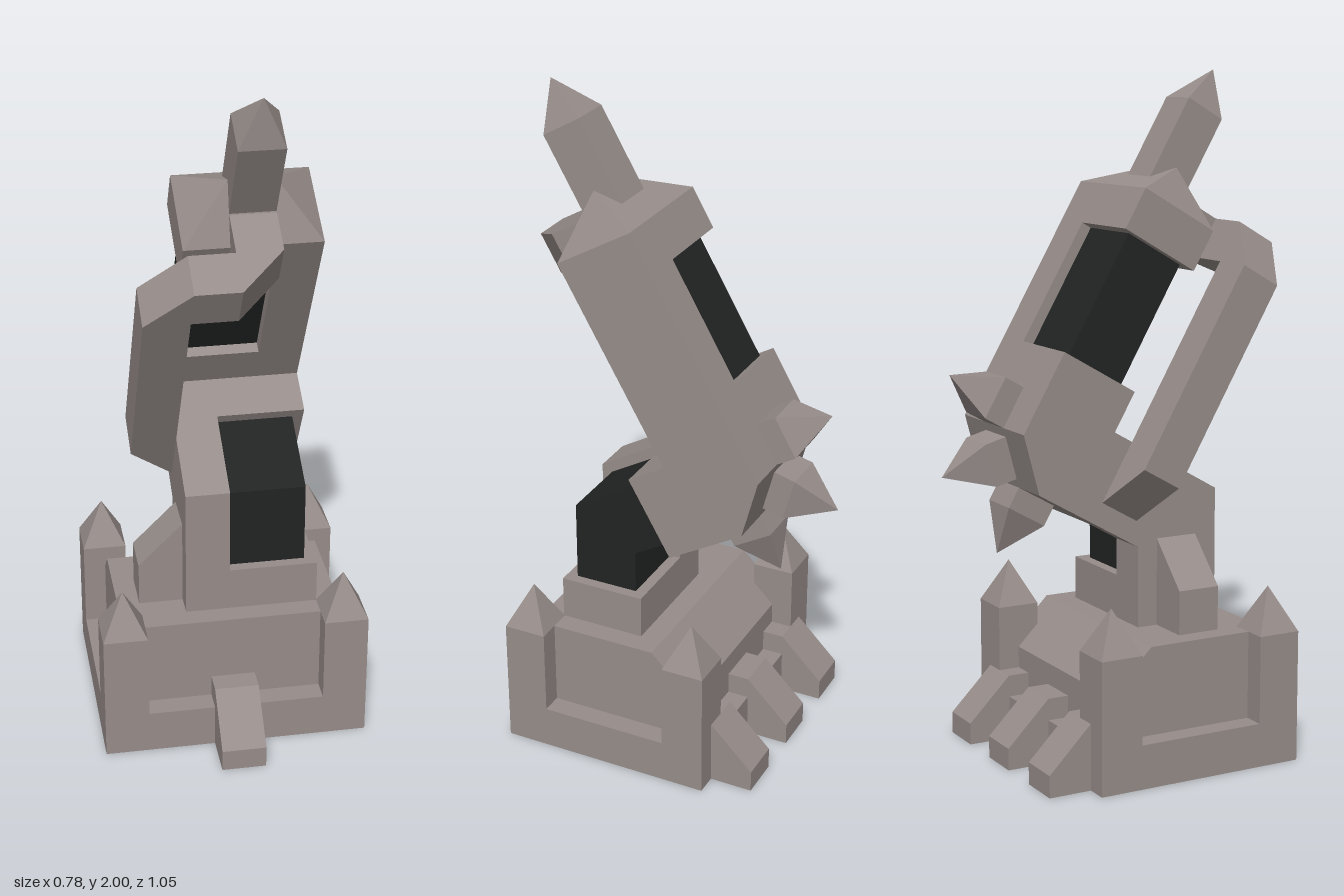
import * as THREE from 'three';

const S = 0.065; // grid step shared by all parts

export function createModel() {
  const stone = new THREE.MeshStandardMaterial({ color: 0x978d8a });
  stone.name = 'warm grey stone';
  const dark = new THREE.MeshStandardMaterial({ color: 0x222424 });
  dark.name = 'dark core';

  const root = new THREE.Group();
  root.name = 'leaningTower';

  const add = (parent, name, geo, mat = stone) => {
    const m = new THREE.Mesh(geo, mat);
    m.name = name;
    parent.add(m);
    return m;
  };
  // box from min/max limits
  const box = (parent, name, x0, x1, y0, y1, z0, z1, mat) => {
    const g = new THREE.BoxGeometry(x1 - x0, y1 - y0, z1 - z0);
    g.translate((x0 + x1) / 2, (y0 + y1) / 2, (z0 + z1) / 2);
    return add(parent, name, g, mat);
  };
  const extrude = (pts, depth) => new THREE.ExtrudeGeometry(
    new THREE.Shape(pts.map(([a, b]) => new THREE.Vector2(a, b))),
    { depth, bevelEnabled: false });
  // side profile of [z, y] points, extruded from x0 to x1
  const side = (parent, name, pts, x0, x1, mat) => {
    const g = extrude(pts.map(([z, y]) => [-z, y]), x1 - x0);
    g.rotateY(Math.PI / 2);
    g.translate(x0, 0, 0);
    return add(parent, name, g, mat);
  };
  // front profile of [x, y] points, extruded from z0 to z1
  const front = (parent, name, pts, z0, z1) => {
    const g = extrude(pts, z1 - z0);
    g.translate(0, 0, z0);
    return add(parent, name, g);
  };
  // square post with a pyramid tip, standing on its local origin
  const post = (parent, name, height, x, y, z, tilt = 0) => {
    const p = new THREE.Group();
    p.name = name;
    box(p, name + 'Shaft', -S, S, 0, height, -S, S);
    const tip = new THREE.ConeGeometry(S * Math.SQRT2, 2 * S, 4, 1, true).toNonIndexed();
    tip.rotateY(Math.PI / 4);
    tip.translate(0, height + S, 0);
    tip.computeVertexNormals();
    add(p, name + 'Tip', tip);
    p.position.set(x, y, z);
    p.rotation.x = tilt;
    parent.add(p);
  };

  // ---- base ----
  const base = new THREE.Group();
  base.name = 'base';
  root.add(base);
  const zF = 0.395, zB = -0.255;
  box(base, 'plinth', -0.39, 0.39, 0, 0.13, zB, zF);
  side(base, 'recessedWalls', [[zF - S, 0.13], [zF - S, 0.39], [-0.06, 0.39],
    [zB + S, 0.26], [zB + S, 0.13]], -0.325, 0.325);
  for (const x of [-0.325, 0.325])
    for (const z of [zF - S, zB + S]) post(base, 'cornerPillar', 0.39, x, 0, z);
  const claw = (name, x, z, dir) => side(base, name, [[z - dir * S, 0], [z - dir * S, 0.195],
    [z, 0.195], [z + dir * 0.13, S], [z + dir * 0.13, 0]], x - S, x + S);
  claw('frontClaw', 0, zF, 1);
  for (const x of [-0.26, 0, 0.26]) claw('backClaw', x, zB, -1);

  // ---- lower column and elbow ----
  box(root, 'columnFoot', -0.13, 0.26, 0.38, 0.52, 0.007, 0.268);
  front(root, 'columnButtress', [[-0.26, 0.38], [-0.13, 0.38], [-0.13, 0.65], [-0.26, 0.52]], 0.07, 0.2);
  const O = [-0.07, 0.976]; // origin of the leaning arm, [z, y]
  const c = Math.cos(Math.PI / 6), s = 0.5;
  const L = (y, z) => [O[0] + s * y + c * z, O[1] + c * y - s * z];
  side(root, 'elbowSlab', [[0.268, 0.52], L(0, 0.39), L(0, 0.13), L(-0.26, 0.13),
    [0.007, 0.631], [0.007, 0.52]], -0.13, 0);
  side(root, 'elbowCore', [[0.2355, 0.52], [0.2355, 0.7625], L(-0.0325, 0.13),
    L(-0.2275, 0.13), [0.04, 0.65], [0.04, 0.52]], 0, 0.2275, dark);

  // ---- leaning arm, built upright and tilted forward 30 degrees ----
  const arm = new THREE.Group();
  arm.name = 'leaningArm';
  arm.position.set(0, O[1], O[0]);
  arm.rotation.x = Math.PI / 6;
  root.add(arm);
  side(arm, 'armHeel', [[0.13, 0], [0, 0], [0, 0.13], [-0.26, 0.13], [-0.26, -0.13],
    [-0.13, -0.26], [0.13, -0.26]], -0.13, 0.26);
  box(arm, 'armWall', 0.13, 0.26, 0.13, 0.52, -0.26, 0);
  box(arm, 'armCore', -0.0975, 0.13, 0.13, 0.52, -0.2275, -0.0325, dark);
  box(arm, 'armHead', -0.13, 0.26, 0.52, 0.65, -0.26, 0);

  // hipped cap: top of a box drawn in to a short ridge
  const cap = new THREE.BoxGeometry(0.39, 0.13, 0.26);
  const p = cap.attributes.position;
  for (let i = 0; i < p.count; i++)
    if (p.getY(i) > 0) p.setXYZ(i, p.getX(i) / 3, p.getY(i), 0);
  const capFlat = cap.toNonIndexed();
  capFlat.computeVertexNormals();
  capFlat.translate(S, 0.65 + S, -0.13);
  add(arm, 'hippedCap', capFlat);
  post(arm, 'topSpire', 0.325, S, 0.65, -0.13);

  // spikes fanned around the heel
  post(arm, 'upperSpike', S, S, -S, -0.26, -Math.PI / 2);
  post(arm, 'middleSpike', S, S, -0.195, -0.195, -Math.PI * 0.75);
  post(arm, 'lowerSpike', S, S, -0.26, -S, Math.PI);

  // handle: upright rod, then a crossbar bending back into the head
  front(arm, 'handleRod', [[-0.26, -0.065], [-0.13, -0.195], [-0.13, 0.715], [-0.26, 0.585]], S, 0.195);
  const bar = extrude([[-0.13, -0.195], [0, -0.195], [0.13, -0.065], [0.13, 0], [0, 0],
    [0, -0.065], [-0.13, -0.065]], 0.13);
  bar.rotateX(-Math.PI / 2);
  bar.translate(0, 0.585, 0);
  add(arm, 'handleCrossbar', bar);
  // short stub closing the crossbar against the sloping cap
  box(arm, 'handleJoint', 0, 0.13, 0.585, 0.715, -0.06, 0);

  return root;
}
